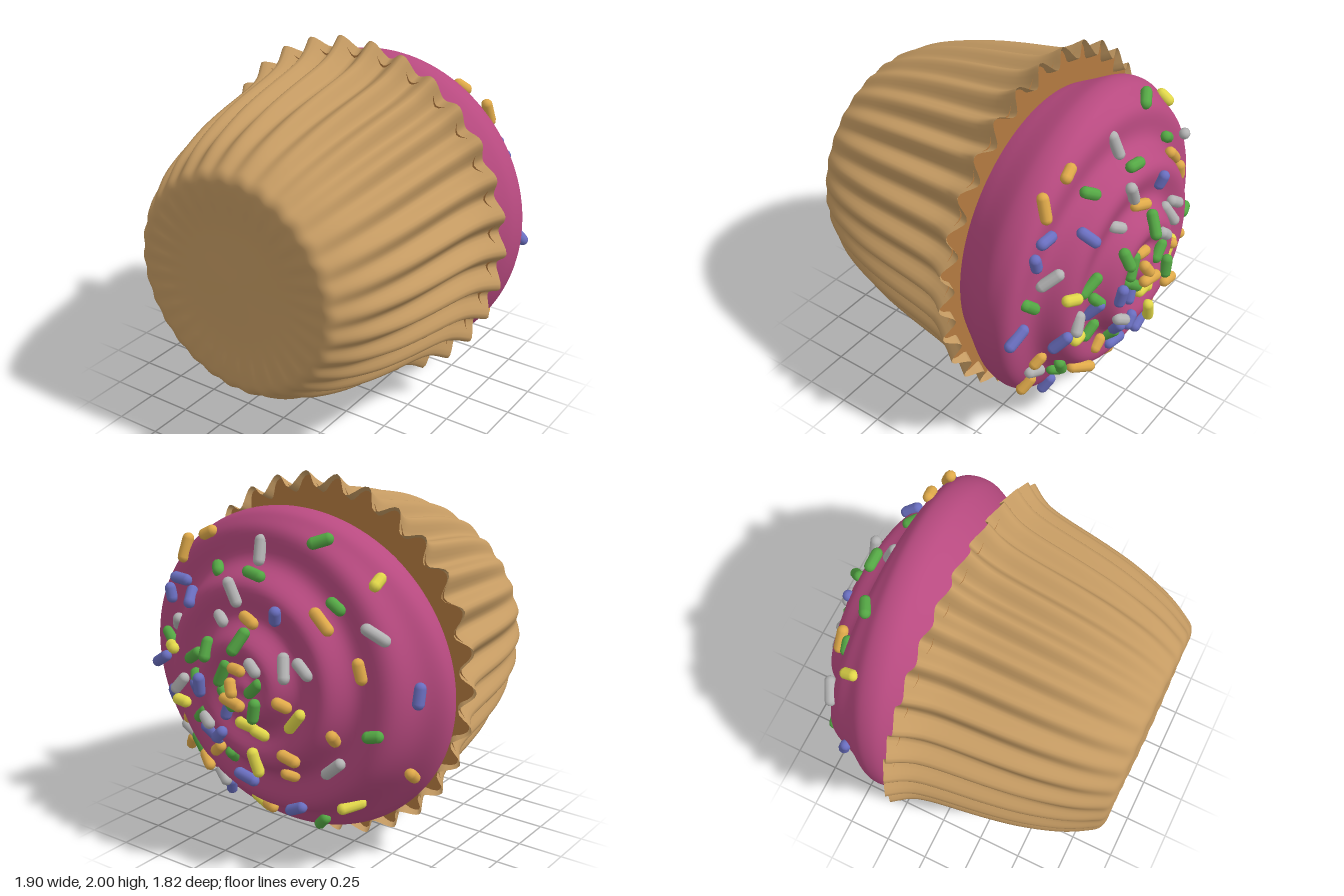
import * as THREE from 'three';
import { mergeVertices } from 'three/addons/utils/BufferGeometryUtils.js';

const TAU = Math.PI * 2;
const FLUTES = 30;
const lerp = THREE.MathUtils.lerp;
const smooth = THREE.MathUtils.smoothstep;
const curve = (pts) => new THREE.SplineCurve(pts.map(([r, h]) => new THREE.Vector2(r, h)));

// Seeded random numbers
function seeded(seed) {
  return () => {
    seed = (seed * 16807) % 2147483647;
    return seed / 2147483647;
  };
}

// Closed surface of rings: fn(u, angle) gives a point, u runs from 0 to 1
function ringSurface(nu, nv, fn) {
  const pos = [], index = [];
  for (let i = 0; i <= nu; i++) {
    for (let j = 0; j < nv; j++) pos.push(...fn(i / nu, (j / nv) * TAU).toArray());
  }
  for (let i = 0; i < nu; i++) {
    for (let j = 0; j < nv; j++) {
      const k = (j + 1) % nv;
      const a = i * nv + j, b = i * nv + k, c = a + nv, d = b + nv;
      index.push(a, c, b, b, c, d);
    }
  }
  const g = new THREE.BufferGeometry();
  g.setAttribute('position', new THREE.Float32BufferAttribute(pos, 3));
  g.setIndex(index);
  const merged = mergeVertices(g, 1e-5);
  merged.computeVertexNormals();
  return merged;
}

// Paper cup: centre of the base, round the corner, up to the flared rim
const cupProfile = curve([
  [0, -0.885], [0.3, -0.885], [0.5, -0.9], [0.585, -0.892], [0.635, -0.83], [0.7, -0.7],
  [0.765, -0.5], [0.81, -0.3], [0.865, 0], [0.91, 0.13], [0.968, 0.22],
]);
function cupPoint(u, a) {
  const p = cupProfile.getPoint(u);
  const wave = Math.cos(FLUTES * a);
  const up = smooth(p.y, -0.9, 0.22);
  const edge = smooth(p.x, 0.3, 0.6);
  const r = p.x + wave * lerp(0.007, 0.038, Math.sqrt(up)) * edge;
  // Flutes lean out at the rim; the base sags a little
  const h = p.y - wave * 0.022 * smooth(p.y, 0.05, 0.22)
    + (1 - up) * (0.002 * wave * edge + 0.006 * p.x * Math.cos(3 * a + 0.6));
  return new THREE.Vector3(r * Math.cos(a) * lerp(0.985, 0.945, up), h, r * Math.sin(a));
}

// Cake: flat top filling the cup just below the rim
function cakePoint(u, a) {
  const p = cupPoint(0.96, a);
  return p.multiplyScalar(lerp(0.995, 0.6, u)).setY(0.185);
}

// Frosting: a dome with a spiral ridge winding in to the middle
const frostingProfile = curve([
  [0.72, 0.12], [0.79, 0.22], [0.86, 0.34], [0.85, 0.46], [0.765, 0.565],
  [0.61, 0.675], [0.45, 0.75], [0.3, 0.8], [0.14, 0.835], [0, 0.85],
]);
function frostingPoint(u, a) {
  const p = frostingProfile.getPoint(u);
  const t = frostingProfile.getTangent(u);
  const ridge = -Math.cos(TAU * (p.x / 0.28 + a / TAU - 0.536));
  const start = 0.25 + 0.08 * Math.sin(a);
  const bump = 0.032 * ridge * smooth(u, start, start + 0.2) * smooth(p.x, 0, 0.12);
  // The outer lobe is highest where the spiral begins and widest where it ends
  const lobe = smooth(u, 0, 0.22) * (1 - smooth(u, 0.3, 0.52));
  const r = Math.max(0, p.x + t.y * bump + 0.02 * lobe * (1 - Math.sin(a)));
  return new THREE.Vector3(
    r * Math.cos(a), p.y - t.x * bump + 0.09 * lobe * Math.cos(a - 0.9), r * Math.sin(a));
}

export function createModel() {
  const model = new THREE.Group();
  model.name = 'cupcake';
  const body = new THREE.Group();
  body.name = 'cupcakeOnItsSide';
  body.rotation.x = -Math.PI / 2;
  body.position.y = 1;
  model.add(body);

  const material = (color, side = THREE.FrontSide) => new THREE.MeshStandardMaterial({ color, side });
  const add = (name, geometry, mat, parent = body) => {
    const mesh = new THREE.Mesh(geometry, mat);
    mesh.name = name;
    parent.add(mesh);
    return mesh;
  };

  add('paperCup', ringSurface(50, FLUTES * 10, cupPoint), material(0xc49a62, THREE.DoubleSide));
  add('cake', ringSurface(1, FLUTES * 10, cakePoint), material(0xb47a40, THREE.DoubleSide));
  add('frosting', ringSurface(80, 120, frostingPoint), material(0xb84a80));

  // Sprinkles lying on the frosting
  const sprinkles = new THREE.Group();
  sprinkles.name = 'sprinkles';
  body.add(sprinkles);
  const random = seeded(4711);
  const colors = [0xe2d84a, 0x55a845, 0x6a6fc0, 0xb4b4b4, 0xe0aa4a].map((c) => material(c));
  const shapes = [0.05, 0.075, 0.1].map((len) => new THREE.CapsuleGeometry(0.031, len, 4, 10));
  const count = 74;
  for (let i = 0; i < count; i++) {
    const u = lerp(0.97, 0.36, Math.pow((i + 0.5) / count, 0.75)) + (random() - 0.5) * 0.04;
    // Crowded towards one side of the swirl
    const spin = i * 2.39996 + random() * 0.5;
    const a = spin - 0.4 * Math.sin(spin + 0.6);
    const at = frostingPoint(u, a);
    const along = frostingPoint(u + 0.01, a).sub(at).normalize();
    const around = frostingPoint(u, a + 0.02).sub(at).normalize();
    const normal = along.clone().cross(around).normalize();
    const turn = random() * Math.PI;
    const dir = along.multiplyScalar(Math.cos(turn)).addScaledVector(around, Math.sin(turn));
    dir.addScaledVector(normal, (random() - 0.5) * 0.4).normalize();
    const s = add('sprinkle', shapes[i % 3], colors[Math.floor(random() * 5)], sprinkles);
    s.quaternion.setFromUnitVectors(new THREE.Vector3(0, 1, 0), dir);
    s.position.copy(at).addScaledVector(normal, 0.015);
  }

  return model;
}
